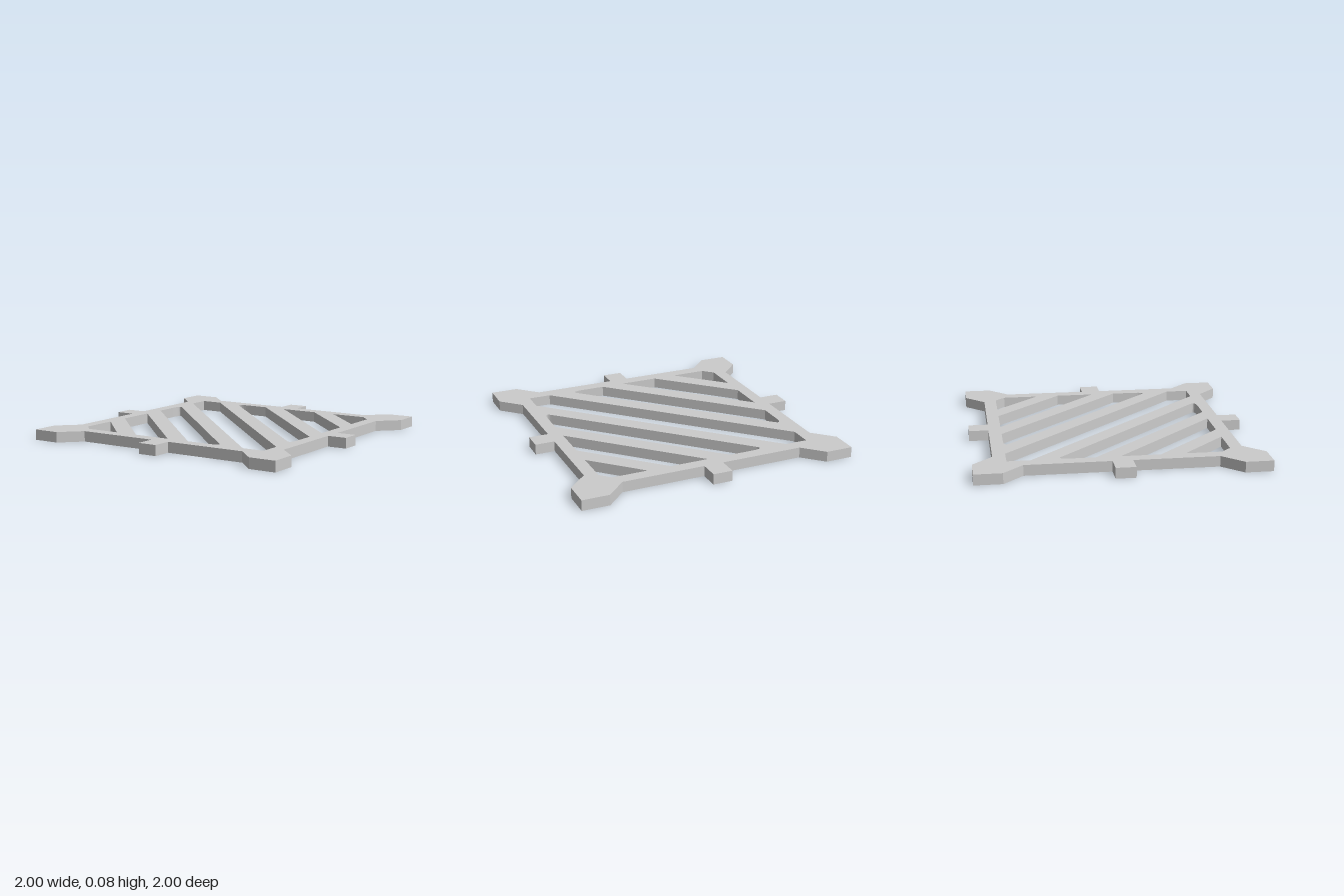
import * as THREE from 'three';

const THICK = 0.075; // plate thickness
const IN = 0.77;     // inner edge of the frame
const OUT = 0.86;    // outer edge of the frame
const v = (x, z) => new THREE.Vector2(x, z);

// Outline: one side (corner foot, frame edge, centre tab) repeated four times
function outline() {
  const side = [v(-1, -1), v(-0.805, -1), v(-0.665, -OUT), v(-0.07, -OUT), v(-0.07, -1),
    v(0.07, -1), v(0.07, -OUT), v(0.665, -OUT), v(0.805, -1)];
  const pts = [];
  for (let i = 0; i < 4; i++) {
    for (const p of side) pts.push(p.clone().rotateAround(v(0, 0), i * Math.PI / 2));
  }
  return new THREE.Shape(pts);
}

// Rounded tip of an acute corner
const tip = (a, corner, b) => new THREE.QuadraticBezierCurve(a, corner, b).getPoints(10);

export function createModel() {
  const group = new THREE.Group();
  const shape = outline();

  // Central diagonal slot
  shape.holes.push(new THREE.Path([v(-IN, -IN), v(-0.61, -IN), v(IN, 0.61),
    v(IN, IN), v(0.61, IN), v(-IN, -0.61)]));

  // Slots on one side of the diagonal
  const slots = [
    [v(-0.17, -IN), v(IN, 0.17),
      ...tip(v(IN, 0.34), v(IN, 0.44), v(0.725, 0.395)),
      ...tip(v(-0.395, -0.725), v(-0.44, -IN), v(-0.34, -IN))],
    [v(0, -IN), v(0.275, -IN), v(IN, -0.275), v(IN, 0)],
    [v(0.445, -IN), v(0.7, -IN), v(IN, -0.7), v(IN, -0.445)],
  ];
  // Each slot and its mirror across the diagonal
  for (const s of slots) {
    shape.holes.push(new THREE.Path(s));
    shape.holes.push(new THREE.Path(s.map(p => v(p.y, p.x))));
  }

  // Lay the plate flat on the ground plane
  const geo = new THREE.ExtrudeGeometry(shape, { depth: THICK, bevelEnabled: false });
  geo.rotateX(Math.PI / 2).translate(0, THICK, 0);
  const plate = new THREE.Mesh(geo, new THREE.MeshStandardMaterial({ color: 0xcccccc }));
  plate.name = 'slottedPlate';
  group.add(plate);
  return group;
}
